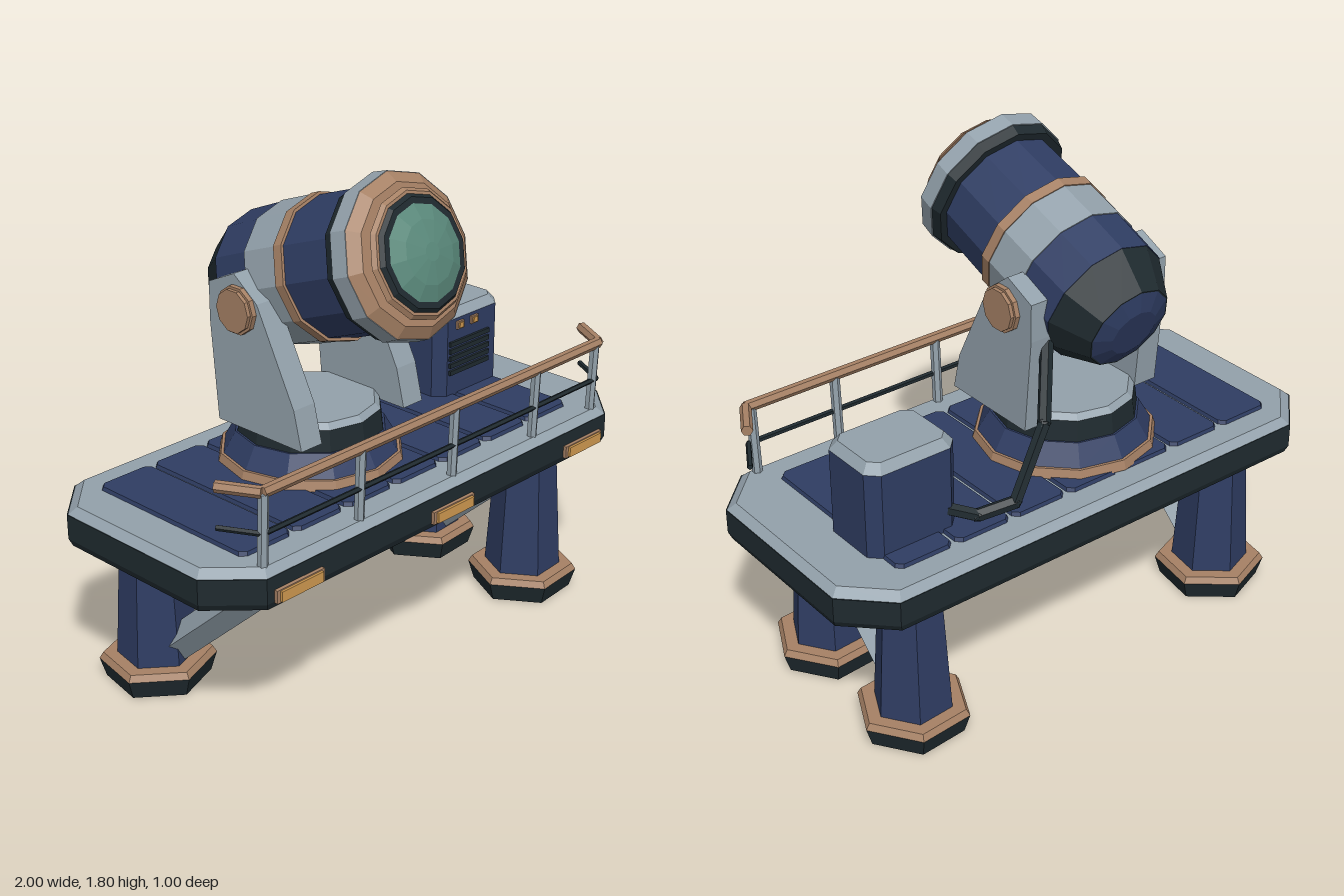
import * as THREE from 'three';

const mat = (name, color) => {
  const m = new THREE.MeshStandardMaterial({ color });
  m.name = name;
  return m;
};

export function createModel() {
  const navy = mat('navy', 0x2f3d63), steel = mat('steel', 0x93a1ab), copper = mat('copper', 0xa68165);
  const dark = mat('dark', 0x1f2a2f), glass = mat('glass', 0x5a897b), amber = mat('amber', 0xd09a50);
  const root = new THREE.Group();
  root.name = 'searchlightPlatform';

  // Faceted mesh: every face gets its own normal
  const add = (parent, name, geo, material, x = 0, y = 0, z = 0) => {
    const g = geo.index ? geo.toNonIndexed() : geo;
    g.computeVertexNormals();
    const m = new THREE.Mesh(g, material);
    m.name = name;
    m.position.set(x, y, z);
    parent.add(m);
    return m;
  };
  const group = (name, x, y, z) => {
    const g = new THREE.Group();
    g.name = name;
    g.position.set(x, y, z);
    root.add(g);
    return g;
  };
  const box = (parent, name, w, h, d, material, x, y, z) =>
    add(parent, name, new THREE.BoxGeometry(w, h, d), material, x, y, z);

  // Stacked frustum between two heights on the local y axis
  const frustum = (parent, name, y0, y1, r0, r1, sides, material) =>
    add(parent, name, new THREE.CylinderGeometry(r1, r0, y1 - y0, sides), material, 0, (y0 + y1) / 2, 0);

  // Straight bar between two points
  const rod = (parent, name, a, b, r, sides, material) => {
    const p = new THREE.Vector3(...a), q = new THREE.Vector3(...b), d = q.clone().sub(p);
    const m = add(parent, name, new THREE.CylinderGeometry(r, r, d.length(), sides), material);
    m.position.copy(p).add(q).multiplyScalar(0.5);
    m.quaternion.setFromUnitVectors(new THREE.Vector3(0, 1, 0), d.normalize());
    return m;
  };

  // Solid lofted through rectangles with cut corners: [width, depth, cut, y]
  const loft = (levels) => {
    const rings = levels.map(([w, d, c, y]) => {
      const a = w / 2, b = d / 2;
      return [[a, c - b], [a, b - c], [a - c, b], [c - a, b], [-a, b - c], [-a, c - b], [c - a, -b], [a - c, -b]]
        .map(([x, z]) => [x, y, z]);
    });
    const pos = [], tri = (...p) => p.forEach((v) => pos.push(...v));
    const first = rings[0], last = rings[rings.length - 1];
    for (let i = 0; i < 8; i++) {
      const j = (i + 1) % 8;
      for (let k = 0; k + 1 < rings.length; k++) {
        const lo = rings[k], hi = rings[k + 1];
        tri(lo[i], hi[i], hi[j]);
        tri(lo[i], hi[j], lo[j]);
      }
      tri([0, last[0][1], 0], last[j], last[i]);
      tri([0, first[0][1], 0], first[i], first[j]);
    }
    const g = new THREE.BufferGeometry();
    g.setAttribute('position', new THREE.Float32BufferAttribute(pos, 3));
    return g;
  };

  // Deck: dark hull with a bevelled steel top
  add(root, 'deckHull', loft([[1.98, 0.91, 0.15, 0.585], [2, 0.93, 0.15, 0.61], [2, 0.93, 0.15, 0.698]]), dark, 0, 0, -0.033);
  add(root, 'deckTop', loft([[1.995, 0.925, 0.15, 0.698], [1.94, 0.87, 0.14, 0.723]]), steel, 0, 0, -0.033);
  for (let i = 0; i < 7; i++) {
    add(root, 'deckPanel', loft([[0.22, 0.7, 0.02, 0.72], [0.21, 0.69, 0.02, 0.736]]), navy, -0.73 + i * 0.2325, 0, -0.035);
  }

  // Three hexagonal legs with flared feet
  [[0.665, 0.22, 34], [0.665, -0.28, 34], [-0.704, -0.28, 50]].forEach(([x, z, turn]) => {
    const leg = group('leg', x, 0, z);
    leg.rotation.y = THREE.MathUtils.degToRad(turn);
    frustum(leg, 'foot', 0, 0.07, 0.18, 0.202, 6, dark);
    frustum(leg, 'footRim', 0.07, 0.093, 0.202, 0.188, 6, copper);
    frustum(leg, 'legColumn', 0.09, 0.6, 0.14, 0.108, 6, navy);
  });
  for (const x of [-0.69, 0.665]) rod(root, 'legBrace', [x, 0.62, 0.335], [x, 0.13, -0.21], 0.06, 4, steel);

  // Lamps along the front edge
  for (const x of [-0.717, 0.003, 0.71]) {
    box(root, 'lampFrame', 0.205, 0.045, 0.02, copper, x, 0.628, 0.435);
    box(root, 'lamp', 0.18, 0.036, 0.01, amber, x, 0.628, 0.449);
  }

  // Railing with ends turned back
  const rail = (name, y, r, sides, material) => {
    const pts = [[-0.9, y, 0.265], [-0.83, y, 0.398], [0.83, y, 0.398], [0.905, y, 0.265]];
    for (let i = 0; i < 3; i++) rod(root, name, pts[i], pts[i + 1], r, sides, material);
  };
  rail('topRail', 0.975, 0.02, 6, copper);
  rail('middleRail', 0.835, 0.01, 5, dark);
  for (const x of [-0.825, -0.4, 0.05, 0.477, 0.81]) {
    rod(root, 'railPost', [x, 0.715, 0.388], [x, 0.97, 0.398], 0.018, 6, steel);
  }

  // Round turntable
  const base = group('turntable', -0.16, 0, -0.07);
  frustum(base, 'turntableRim', 0.73, 0.765, 0.325, 0.315, 12, copper);
  frustum(base, 'turntableSkirt', 0.765, 0.84, 0.305, 0.262, 12, navy);
  frustum(base, 'turntableCollar', 0.84, 0.915, 0.255, 0.245, 12, dark);
  frustum(base, 'turntablePlate', 0.915, 0.935, 0.245, 0.225, 12, steel);

  // Yoke arms and pivot caps on both sides
  const outline = [[0.18, 0.905], [0.147, 1.04], [-0.015, 1.36], [-0.12, 1.44], [-0.24, 1.385], [-0.24, 1.25], [-0.21, 0.905]];
  const armShape = new THREE.Shape(outline.map(([z, y]) => new THREE.Vector2(z, y)));
  for (const side of [-1, 1]) {
    const arm = new THREE.ExtrudeGeometry(armShape, { depth: 0.093, bevelEnabled: false });
    arm.translate(0, 0, -0.0465).rotateY(-Math.PI / 2);
    add(root, 'yokeArm', arm, steel, -0.16 + side * 0.243, 0, 0);
    const inner = -0.16 + side * 0.2, outer = -0.16 + side * 0.307, tip = -0.16 + side * 0.32;
    rod(root, 'pivotCap', [inner, 1.323, -0.1], [outer, 1.323, -0.1], 0.083, 10, copper);
    rod(root, 'pivotCapFace', [outer, 1.323, -0.1], [tip, 1.323, -0.1], 0.074, 10, copper);
  }

  // Tilted barrel, built along its own axis: [name, start, end, startRadius, endRadius, colour]
  const barrel = group('barrel', -0.16, 1.375, -0.1);
  barrel.rotation.x = THREE.MathUtils.degToRad(70);
  [
    ['rearCap', -0.33, -0.305, 0.09, 0.155, navy],
    ['rearTaper', -0.305, -0.17, 0.16, 0.234, dark],
    ['rearBody', -0.17, -0.01, 0.236, 0.242, navy],
    ['middleBand', -0.01, 0.14, 0.246, 0.246, steel],
    ['middleRing', 0.14, 0.178, 0.25, 0.25, copper],
    ['frontBody', 0.178, 0.405, 0.24, 0.236, navy],
    ['collarSeal', 0.4, 0.437, 0.262, 0.272, dark],
    ['collar', 0.437, 0.5, 0.276, 0.272, steel],
    ['collarLip', 0.5, 0.53, 0.27, 0.232, copper],
    ['lensRing', 0.548, 0.562, 0.212, 0.2, copper],
    ['lensSeal', 0.562, 0.576, 0.19, 0.178, dark],
    ['lensEdge', 0.576, 0.596, 0.157, 0.105, glass],
    ['lensCentre', 0.596, 0.608, 0.105, 0.03, glass],
  ].forEach(([name, a, b, r0, r1, material]) => frustum(barrel, name, a, b, r0, r1, 12, material));

  // Power unit with louvres and indicator lamps
  const unit = group('powerUnit', 0.638, 0, -0.168);
  add(unit, 'unitBody', loft([[0.345, 0.27, 0.04, 0.72], [0.345, 0.27, 0.04, 1.03]]), navy);
  add(unit, 'unitLid', loft([[0.345, 0.27, 0.04, 1.03], [0.295, 0.22, 0.03, 1.062]]), steel);
  for (let i = 0; i < 5; i++) box(unit, 'louvre', 0.215, 0.017, 0.014, dark, -0.017, 0.825 + i * 0.028, 0.138);
  for (const x of [-0.07, 0.008]) {
    box(unit, 'indicatorFrame', 0.036, 0.03, 0.012, copper, x, 1.003, 0.138);
    box(unit, 'indicator', 0.022, 0.02, 0.008, amber, x, 1.003, 0.145);
  }

  // Power cable from the barrel to the unit
  const cable = [[0.03, 1.25, -0.2], [0.18, 1.03, -0.37], [0.31, 0.79, -0.385], [0.43, 0.765, -0.34], [0.52, 0.8, -0.28]];
  for (let i = 0; i < cable.length - 1; i++) {
    rod(root, 'cable', cable[i], cable[i + 1], 0.023, 6, dark);
    if (i) add(root, 'cableJoint', new THREE.IcosahedronGeometry(0.024, 0), dark, ...cable[i]);
  }

  return root;
}
